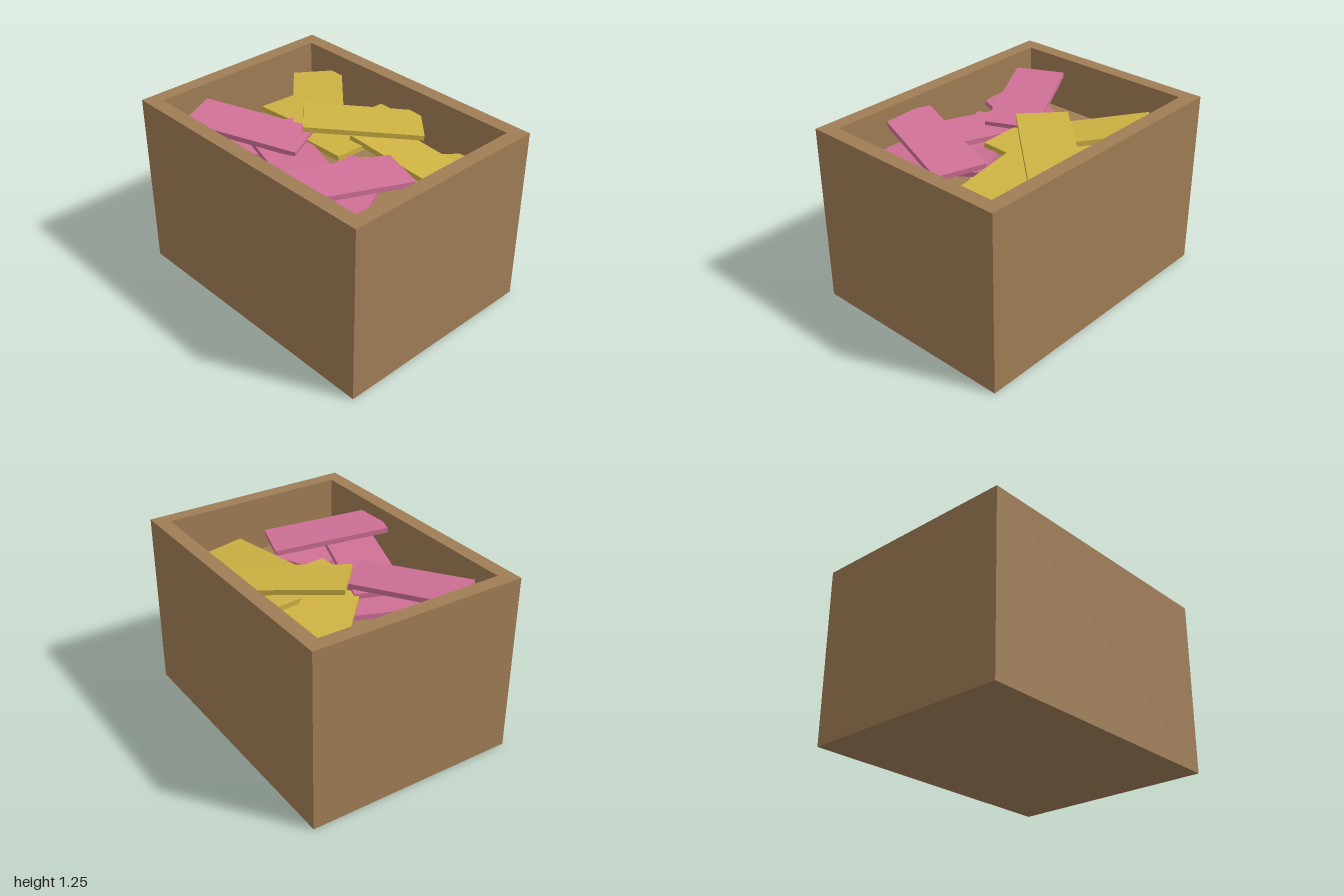
import * as THREE from 'three';

const material = (name, color) => {
  const m = new THREE.MeshStandardMaterial({ color });
  m.name = name;
  return m;
};

export function createModel() {
  const model = new THREE.Group();
  model.name = 'crateOfSlabs';
  const brown = material('cardboardBrown', 0x9f7d55);
  const yellow = material('mustardYellow', 0xcdb242);
  const pink = material('rosePink', 0xcf7096);

  const add = (parent, name, geometry, mat) => {
    const mesh = new THREE.Mesh(geometry, mat);
    mesh.name = name;
    parent.add(mesh);
    return mesh;
  };

  // Crate walls: a rectangular ring extruded upwards
  const rectangle = (path, x, z) => path.moveTo(-x, -z).lineTo(x, -z).lineTo(x, z).lineTo(-x, z).closePath();
  const outline = rectangle(new THREE.Shape(), 1, 0.75);
  outline.holes.push(rectangle(new THREE.Path(), 0.9, 0.65));
  const walls = new THREE.ExtrudeGeometry(outline, { depth: 1.25, bevelEnabled: false });
  walls.rotateX(-Math.PI / 2);
  add(model, 'crateWalls', walls, brown);

  // Raised floor that carries the pile
  const floor = add(model, 'crateFloor', new THREE.BoxGeometry(1.8, 0.86, 1.3), brown);
  floor.position.y = 0.43;

  // Flat slabs, each given by its top centre, heading in degrees and two slopes
  const thickness = 0.035;
  const slabGeometry = new THREE.BoxGeometry(0.79, thickness, 0.345);
  const addPile = (name, mat, slabs) => {
    const pile = new THREE.Group();
    pile.name = name;
    model.add(pile);
    for (const [x, y, z, heading, alongSlope, acrossSlope] of slabs) {
      const a = THREE.MathUtils.degToRad(heading);
      const along = new THREE.Vector3(Math.cos(a), alongSlope, Math.sin(a)).normalize();
      const across = new THREE.Vector3(-Math.sin(a), acrossSlope, Math.cos(a));
      const up = across.clone().cross(along).normalize();
      across.crossVectors(along, up);
      const slab = add(pile, 'slab', slabGeometry, mat);
      slab.quaternion.setFromRotationMatrix(new THREE.Matrix4().makeBasis(along, up, across));
      slab.position.set(x, y, z).addScaledVector(up, -thickness / 2);
    }
  };

  addPile('yellowSlabs', yellow, [
    [0, 1.12, -0.295, -47.5, -0.09, 0],
    [0.45, 1.035, -0.305, -3, -0.11, 0.1],
    [-0.455, 1.07, -0.31, 42, -0.08, -0.06],
    [-0.46, 0.95, -0.305, 0, 0.06, 0.05],
    [0, 1.05, -0.295, 89, 0.05, 0],
    [0.455, 0.93, -0.3, -47, 0.05, 0],
  ]);
  addPile('pinkSlabs', pink, [
    [-0.45, 1.12, 0.3, -26, -0.085, 0],
    [0.445, 1.125, 0.295, 108, 0.095, 0],
    [-0.455, 1.0, 0.3, -68, 0, -0.05],
    [0, 1.06, 0.3, 19, 0.03, 0],
    [0, 0.96, 0.3, -23, 0, 0],
    [0.45, 1.0, 0.3, 64.5, -0.09, 0],
  ]);

  return model;
}
